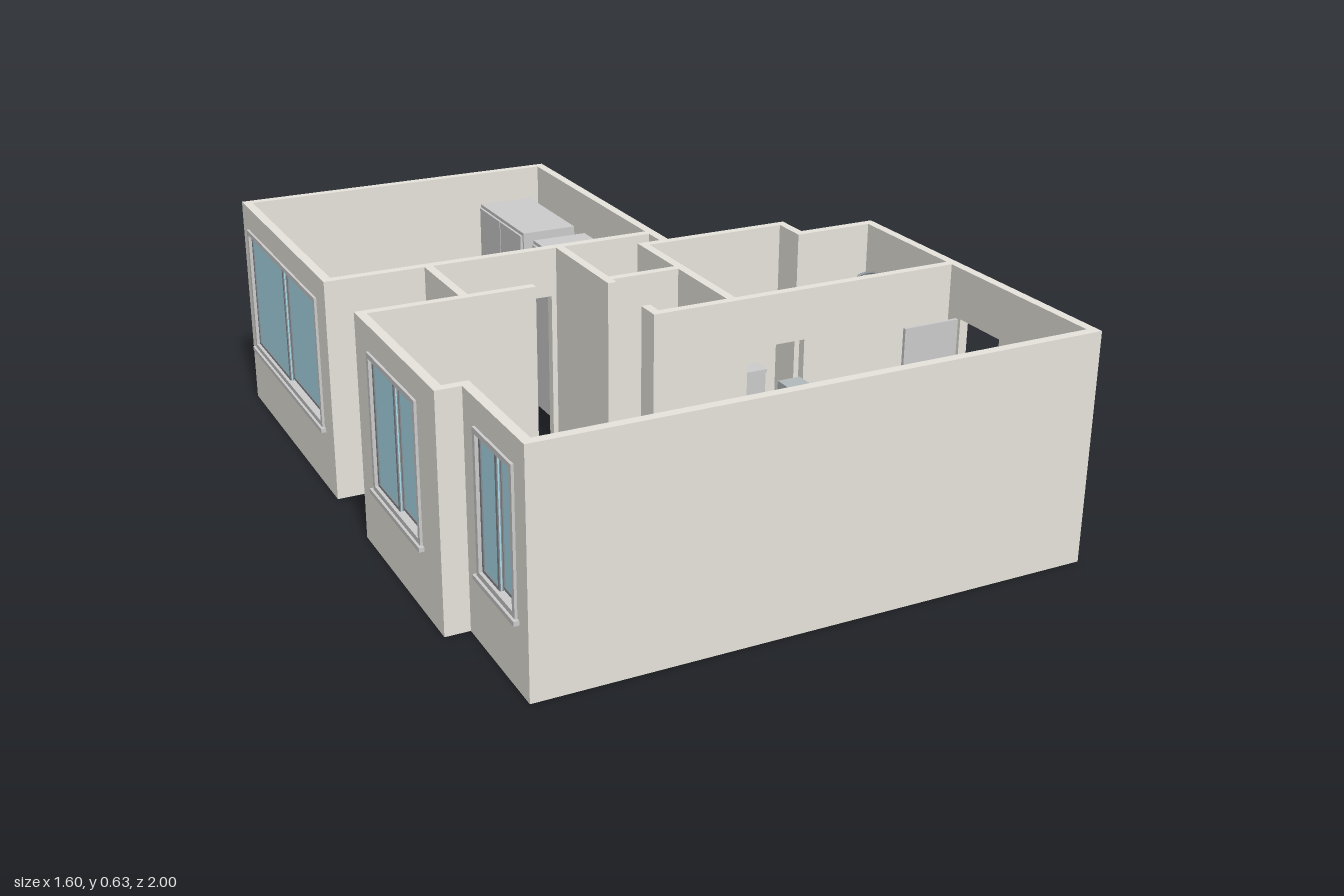
import * as THREE from 'three';

const H = 0.63; // wall height
const mat = (color) => new THREE.MeshStandardMaterial({ color });
const grey = mat(0xcccccc), plaster = mat(0xe6e4dc), stone = mat(0xe8e4d8), green = mat(0xb9c9b9);
const steel = mat(0xb2babc), dark = mat(0x2b3438), metal = mat(0x858b90), glass = mat(0xabdcea);

function add(parent, name, geometry, material) {
  const mesh = new THREE.Mesh(geometry, material);
  mesh.name = name;
  parent.add(mesh);
  return mesh;
}

function group(parent, name) {
  const g = new THREE.Group();
  g.name = name;
  parent.add(g);
  return g;
}

// Box given by its extents
function box(parent, name, x0, x1, y0, y1, z0, z1, material = grey) {
  const geo = new THREE.BoxGeometry(x1 - x0, y1 - y0, z1 - z0);
  geo.translate((x0 + x1) / 2, (y0 + y1) / 2, (z0 + z1) / 2);
  return add(parent, name, geo, material);
}

function cylinder(parent, name, r0, r1, h, x, y, z, material, sides = 20) {
  const geo = new THREE.CylinderGeometry(r0, r1, h, sides);
  geo.translate(x, y, z);
  return add(parent, name, geo, material);
}

function tube(parent, name, points, r, material) {
  const curve = new THREE.CatmullRomCurve3(points.map((p) => new THREE.Vector3(...p)));
  return add(parent, name, new THREE.TubeGeometry(curve, 14, r, 8), material);
}

const rect = (a, b, c, d) =>
  [[a, c], [b, c], [b, d], [a, d]].map(([x, y]) => new THREE.Vector2(x, y));

// Wall over a plan rectangle; openings are [start, end, bottom, top], bottom 0 being a door
function wall(parent, x0, x1, z0, z1, openings = []) {
  const alongX = x1 - x0 > z1 - z0;
  const [a, b] = alongX ? [x0, x1] : [z0, z1];
  const outline = [[a, 0]];
  for (const [s, e, y0, y1] of openings) if (y0 === 0) outline.push([s, 0], [s, y1], [e, y1], [e, 0]);
  outline.push([b, 0], [b, H], [a, H]);
  const shape = new THREE.Shape(outline.map((p) => new THREE.Vector2(...p)));
  for (const [s, e, y0, y1] of openings) if (y0 > 0) shape.holes.push(new THREE.Path(rect(s, e, y0, y1)));
  const geo = new THREE.ExtrudeGeometry(shape, { depth: alongX ? z1 - z0 : x1 - x0, bevelEnabled: false });
  if (alongX) geo.translate(0, 0, z0);
  else geo.rotateY(-Math.PI / 2).translate(x1, 0, 0);
  add(parent, 'wall', geo, plaster);
}

// Horizontal slab with a rectangular hole
function holedSlab(parent, name, [x0, x1, z0, z1], hole, y0, y1, material) {
  const shape = new THREE.Shape(rect(x0, x1, -z1, -z0));
  shape.holes.push(new THREE.Path(rect(hole[0], hole[1], -hole[3], -hole[2])));
  const geo = new THREE.ExtrudeGeometry(shape, { depth: y1 - y0, bevelEnabled: false });
  geo.rotateX(-Math.PI / 2).translate(0, y0, 0);
  add(parent, name, geo, material);
}

// Two-pane window with sill, set in a wall that runs along z
function windowUnit(parent, x, z0, z1) {
  const g = group(parent, 'window');
  const y0 = 0.185, y1 = 0.56, t = 0.014, m = (z0 + z1) / 2;
  box(g, 'windowSill', x - 0.027, x + 0.024, y0 - 0.012, y0, z0 - 0.01, z1 + 0.01);
  for (const y of [y0, y1 - t]) box(g, 'windowRail', x - 0.02, x + 0.02, y, y + t, z0, z1);
  for (const z of [z0, z1 - t]) box(g, 'windowJamb', x - 0.02, x + 0.02, y0, y1, z, z + t);
  [[z0 + t, m + 0.006, -0.006], [m - 0.006, z1 - t, 0.006]].forEach(([a, b, o]) => {
    box(g, 'windowPane', x + o - 0.002, x + o + 0.002, y0 + t, y1 - t, a, b, glass);
    for (const z of [a, b - 0.01]) box(g, 'sashStile', x + o - 0.005, x + o + 0.005, y0 + t, y1 - t, z, z + 0.01, metal);
    for (const y of [y0 + t, y1 - t - 0.008]) box(g, 'sashRail', x + o - 0.005, x + o + 0.005, y, y + 0.008, a, b, metal);
  });
}

// Open door leaf starting at its hinge, turned by angle about y
function doorLeaf(parent, x, z, angle) {
  const g = group(parent, 'door');
  box(g, 'doorLeaf', 0, 0.17, 0.003, 0.487, -0.005, 0.005);
  for (const s of [-1, 1]) {
    add(g, 'doorKnob', new THREE.SphereGeometry(0.009, 12, 8), metal).position.set(0.155, 0.23, s * 0.013);
  }
  g.position.set(x, 0, z);
  g.rotation.y = angle;
}

// Wardrobe with two doors and handles; side is the x direction it faces
function wardrobe(parent, x0, x1, z0, z1, side) {
  const g = group(parent, 'wardrobe');
  const h = 0.53, f = side > 0 ? x1 : x0, m = (z0 + z1) / 2;
  const front = (name, d0, d1, y0, y1, a, b, material) =>
    box(g, name, Math.min(f + side * d0, f + side * d1), Math.max(f + side * d0, f + side * d1), y0, y1, a, b, material);
  box(g, 'wardrobeBody', x0, x1, 0, h, z0, z1);
  front('wardrobeDoor', 0, 0.007, 0.03, h - 0.01, z0 + 0.008, m - 0.002);
  front('wardrobeDoor', 0, 0.007, 0.03, h - 0.01, m + 0.002, z1 - 0.008);
  for (const s of [-1, 1]) front('wardrobeHandle', 0.007, 0.013, 0.23, 0.3, m + s * 0.018 - 0.003, m + s * 0.018 + 0.003, metal);
}

// Sink rim, basin floor and tap
function sink(parent, [x0, x1, z0, z1], y, tapZ, dir) {
  const g = group(parent, 'sink');
  const i = 0.012, m = (x0 + x1) / 2;
  holedSlab(g, 'sinkRim', [x0, x1, z0, z1], [x0 + i, x1 - i, z0 + i, z1 - i], y - 0.03, y + 0.004, metal);
  box(g, 'sinkFloor', x0, x1, y - 0.034, y - 0.029, z0, z1, steel);
  tube(g, 'tap', [[m, y, tapZ], [m, y + 0.045, tapZ], [m, y + 0.055, tapZ + dir * 0.02], [m, y + 0.04, tapZ + dir * 0.045]], 0.004, metal);
}

export function createModel() {
  const model = new THREE.Group();
  model.name = 'apartment';

  // Walls
  const walls = group(model, 'walls');
  const win = (a, b) => [a, b, 0.185, 0.56], door = (a, b) => [a, b, 0, 0.49];
  [
    [-0.79, 0.19, -1, -0.974],
    [-0.79, -0.764, -1, -0.18, [win(-0.94, -0.26)]],
    [0.164, 0.19, -1, -0.09],
    [-0.79, 0.19, -0.206, -0.18, [door(-0.31, -0.14)]],
    [-0.51, -0.486, -0.18, 0.097],
    [-0.79, -0.305, 0.073, 0.097],
    [-0.79, -0.764, 0.073, 0.645, [win(0.175, 0.52)]],
    [-0.79, -0.697, 0.62, 0.645],
    [-0.723, -0.697, 0.62, 1, [win(0.715, 0.94)]],
    [-0.723, 0.8, 0.974, 1],
    [0.774, 0.8, -0.013, 1, [door(0.475, 0.645)]],
    [0.54, 0.8, -0.013, 0.013],
    [0.54, 0.565, -0.115, 0.013],
    [0.095, 0.565, -0.115, -0.09],
    [0.095, 0.12, -0.115, 0.42],
    [-0.125, 0.8, 0.396, 0.42, [door(0.147, 0.317)]],
    [-0.125, -0.1, 0.35, 0.42],
    [-0.125, -0.1, -0.19, 0.155],
    [-0.125, 0.12, 0.106, 0.13],
  ].forEach((w) => wall(walls, ...w));

  // Windows and doors
  windowUnit(model, -0.777, -0.94, -0.26);
  windowUnit(model, -0.777, 0.175, 0.52);
  windowUnit(model, -0.71, 0.715, 0.94);
  doorLeaf(model, -0.31, -0.206, Math.PI / 2);
  doorLeaf(model, 0.146, 0.396, Math.PI / 2);
  doorLeaf(model, 0.774, 0.46, Math.PI);

  // Wardrobes
  wardrobe(model, -0.033, 0.135, -0.974, -0.63, -1);
  wardrobe(model, -0.033, 0.135, -0.555, -0.23, -1);
  wardrobe(model, -0.486, -0.338, -0.178, 0.055, 1);

  // Washing machine, facing -x
  const washer = group(model, 'washingMachine');
  box(washer, 'washerBody', -0.09, 0.075, 0, 0.23, 0.185, 0.335);
  box(washer, 'washerPanel', -0.094, -0.09, 0.19, 0.222, 0.192, 0.328, metal);
  const ring = add(washer, 'washerDoorRing', new THREE.TorusGeometry(0.048, 0.007, 8, 24), metal);
  ring.rotation.y = Math.PI / 2;
  ring.position.set(-0.092, 0.105, 0.26);
  const port = cylinder(washer, 'washerDoorGlass', 0.046, 0.046, 0.008, 0, 0, 0, glass, 24);
  port.rotation.z = Math.PI / 2;
  port.position.set(-0.091, 0.105, 0.26);

  // Kitchen counter and base units, facing -z
  const kitchen = group(model, 'kitchen');
  const ch = 0.25, sinkArea = [0.225, 0.34, 0.86, 0.94];
  box(kitchen, 'baseUnit', 0.175, 0.525, 0, ch - 0.034, 0.828, 0.974, green);
  holedSlab(kitchen, 'countertop', [0.035, 0.525, 0.82, 0.974], sinkArea, ch - 0.03, ch, stone);
  sink(kitchen, sinkArea, ch, 0.95, -1);
  for (const x of [0.18, 0.355]) {
    box(kitchen, 'unitDoor', x, x + 0.168, 0.02, ch - 0.038, 0.823, 0.828, green);
    box(kitchen, 'unitHandle', x + 0.06, x + 0.108, 0.185, 0.192, 0.815, 0.823, metal);
  }
  box(kitchen, 'dishwasher', 0.037, 0.173, 0, ch - 0.03, 0.824, 0.974, steel);
  box(kitchen, 'dishwasherHandle', 0.045, 0.165, 0.185, 0.194, 0.812, 0.824, dark);
  box(kitchen, 'wallCabinet', 0.39, 0.525, 0.42, 0.56, 0.9, 0.974, green);
  box(kitchen, 'wallCabinetDoor', 0.394, 0.521, 0.424, 0.556, 0.895, 0.9, green);

  // Fridge
  const fridge = group(model, 'fridge');
  box(fridge, 'fridgeBody', 0.527, 0.705, 0, 0.465, 0.818, 0.974, steel);
  box(fridge, 'freezerDoor', 0.529, 0.703, 0.335, 0.463, 0.806, 0.818, steel);
  box(fridge, 'fridgeDoor', 0.529, 0.703, 0.015, 0.328, 0.806, 0.818, steel);
  for (const y of [0.345, 0.308]) box(fridge, 'fridgeHandle', 0.63, 0.68, y, y + 0.008, 0.798, 0.806, metal);

  // Stove with hood
  const stove = group(model, 'stove');
  box(stove, 'stoveBody', -0.115, 0.033, 0, 0.24, 0.828, 0.974, steel);
  box(stove, 'hob', -0.115, 0.033, 0.24, 0.254, 0.82, 0.974, dark);
  box(stove, 'ovenDoor', -0.107, 0.025, 0.04, 0.19, 0.82, 0.828, dark);
  box(stove, 'ovenGlass', -0.09, 0.008, 0.065, 0.155, 0.817, 0.82, glass);
  box(stove, 'ovenHandle', -0.095, 0.013, 0.17, 0.178, 0.812, 0.82, metal);
  for (let i = 0; i < 5; i++) {
    const knob = cylinder(stove, 'stoveKnob', 0.007, 0.008, 0.012, 0, 0, 0, dark, 12);
    knob.rotation.x = Math.PI / 2;
    knob.position.set(-0.093 + i * 0.026, 0.215, 0.822);
  }
  for (const x of [-0.077, -0.005]) for (const z of [0.855, 0.93]) {
    const burner = add(stove, 'burnerRing', new THREE.TorusGeometry(0.021, 0.003, 6, 20), metal);
    burner.rotation.x = Math.PI / 2;
    burner.position.set(x, 0.256, z);
    cylinder(stove, 'burnerCap', 0.01, 0.012, 0.008, x, 0.258, z, metal, 14);
  }
  const hood = group(model, 'hood');
  box(hood, 'hoodCanopy', -0.115, 0.033, 0.45, 0.485, 0.855, 0.974, steel);
  box(hood, 'hoodChimney', -0.07, -0.013, 0.485, H, 0.93, 0.974, steel);

  // Bathroom vanity and mirror
  const vanity = group(model, 'vanity');
  const basin = [0.185, 0.295, -0.055, 0.015], vh = 0.22;
  box(vanity, 'vanityCabinet', 0.147, 0.328, 0, vh - 0.034, -0.09, 0.042, green);
  holedSlab(vanity, 'vanityTop', [0.14, 0.335, -0.09, 0.05], basin, vh - 0.03, vh, stone);
  sink(vanity, basin, vh, -0.068, 1);
  for (const x of [0.151, 0.239]) box(vanity, 'vanityDoor', x, x + 0.085, 0.015, vh - 0.04, 0.042, 0.047, green);
  box(vanity, 'vanityHandle', 0.215, 0.26, 0.15, 0.157, 0.047, 0.056, metal);
  box(vanity, 'mirrorFrame', 0.14, 0.325, 0.29, 0.45, -0.09, -0.083, metal);
  box(vanity, 'mirror', 0.148, 0.317, 0.298, 0.442, -0.083, -0.08, glass);

  // Toilet
  const toilet = group(model, 'toilet');
  box(toilet, 'toiletTank', 0.39, 0.475, 0.09, 0.205, -0.085, -0.035);
  box(toilet, 'tankLid', 0.387, 0.478, 0.205, 0.215, -0.088, -0.032);
  const seat = new THREE.Shape();
  seat.moveTo(-0.042, 0.035);
  seat.lineTo(-0.042, -0.03);
  seat.absarc(0, -0.03, 0.042, Math.PI, Math.PI * 2, false);
  seat.lineTo(0.042, 0.035);
  const lid = new THREE.ExtrudeGeometry(seat, { depth: 0.016, bevelEnabled: false, curveSegments: 20 });
  add(toilet, 'toiletSeat', lid.rotateX(-Math.PI / 2).translate(0.4325, 0.112, 0), grey);
  cylinder(toilet, 'toiletBowl', 0.04, 0.027, 0.112, 0.4325, 0.056, 0.025, grey, 24);
  box(toilet, 'toiletFoot', 0.408, 0.457, 0, 0.112, -0.06, 0.025);

  // Bathtub, tap and shower
  const tub = group(model, 'bathtub');
  holedSlab(tub, 'tubWall', [0.56, 0.76, 0.015, 0.39], [0.583, 0.732, 0.04, 0.362], 0, 0.14, grey);
  box(tub, 'tubFloor', 0.58, 0.735, 0, 0.03, 0.037, 0.365);
  tube(tub, 'tubTap', [[0.657, 0.19, 0.013], [0.657, 0.195, 0.04], [0.657, 0.18, 0.06]], 0.005, metal);
  tube(tub, 'showerArm', [[0.774, 0.5, 0.1], [0.73, 0.515, 0.1], [0.692, 0.51, 0.1], [0.687, 0.49, 0.1]], 0.004, metal);
  cylinder(tub, 'showerHead', 0.008, 0.022, 0.018, 0.687, 0.482, 0.1, metal);

  return model;
}
